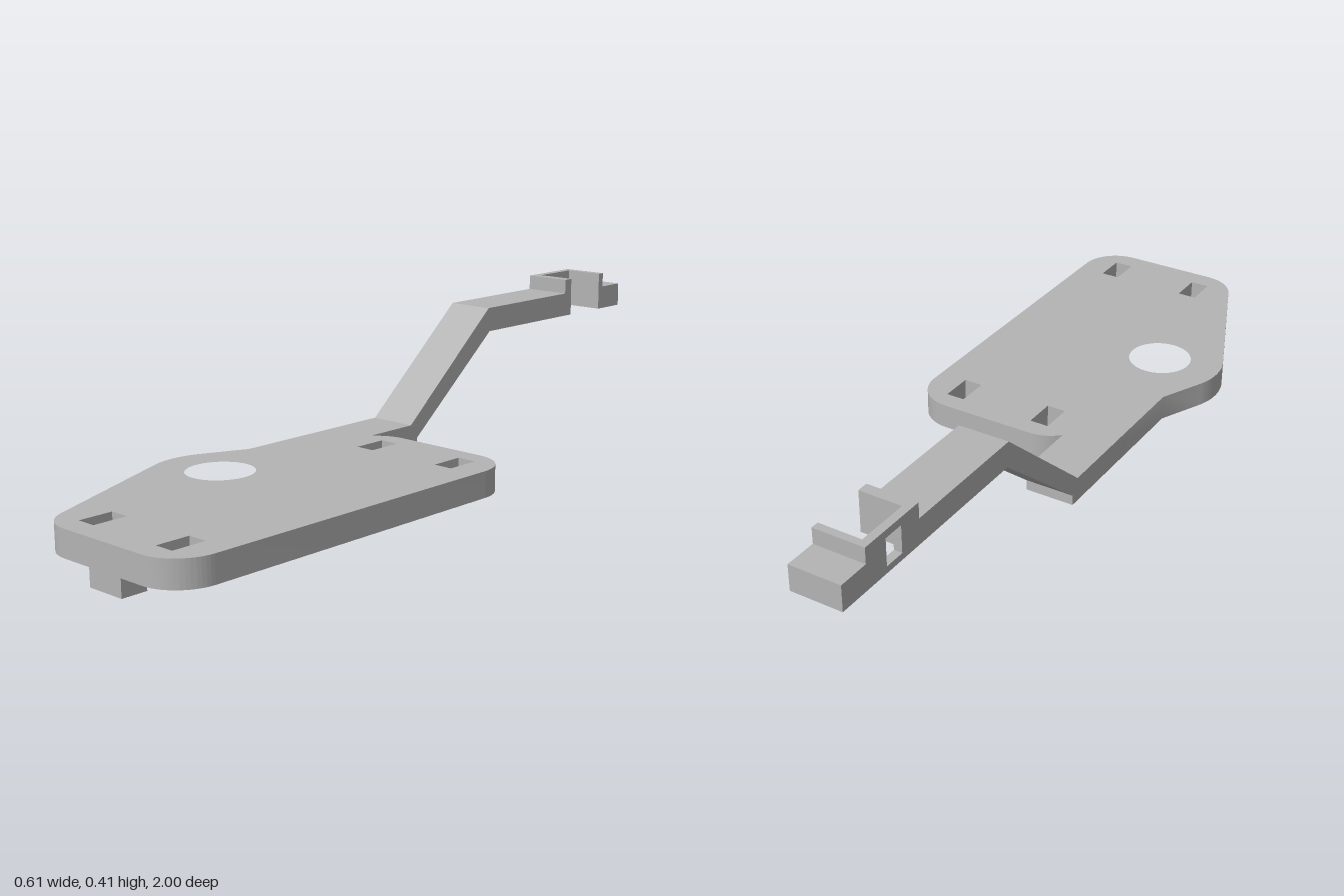
import * as THREE from 'three';
import { toCreasedNormals } from 'three/addons/utils/BufferGeometryUtils.js';

const grey = new THREE.MeshStandardMaterial({ color: 0xb4b4b4 });
grey.name = 'grey plastic';

const polygon = (Kind, points) => new Kind(points.map(([x, y]) => new THREE.Vector2(x, y)));
const rect = (Kind, x0, y0, x1, y1) => polygon(Kind, [[x0, y0], [x1, y0], [x1, y1], [x0, y1]]);
const roundHole = (x, y, r) => new THREE.Path().absarc(x, y, r, 0, Math.PI * 2, true);

function solid(name, shape, depth, place) {
  const geo = new THREE.ExtrudeGeometry(shape, { depth, bevelEnabled: false, curveSegments: 24 });
  place(geo);
  const mesh = new THREE.Mesh(toCreasedNormals(geo, 0.5), grey);
  mesh.name = name;
  return mesh;
}

// plan shapes are drawn in (x, -z) and raised from height y
const slab = (name, shape, y, height) =>
  solid(name, shape, height, g => g.rotateX(-Math.PI / 2).translate(0, y, 0));

// side profiles are drawn in (z, y) and run from x1 towards -x
const side = (name, shape, x1, width) =>
  solid(name, shape, width, g => g.rotateY(-Math.PI / 2).translate(x1, 0, 0));

export function createModel() {
  const model = new THREE.Group();
  model.name = 'bracket';
  const LOW = 0.042, TOP = 0.105, PI = Math.PI;
  const ARM_L = -0.24, ARM_R = -0.115, ARM_W = ARM_R - ARM_L;

  // base plate with rounded corners and a bulge around the round hole
  const plate = new THREE.Shape();
  plate.moveTo(ARM_R, -0.034);
  plate.absarc(-0.04, -0.1, 0.1, 2.42, PI / 2, true);
  plate.absarc(0.205, -0.1, 0.1, PI / 2, 0, true);
  plate.absarc(0.205, -0.9, 0.1, 0, -PI / 2, true);
  plate.absarc(-0.04, -0.9, 0.1, -PI / 2, -PI + 0.408, true);
  plate.absarc(-0.14, -0.5, 0.165, -PI + 0.408, -PI - 0.408, true);
  plate.lineTo(ARM_L, -0.323);
  plate.lineTo(ARM_L, -0.034);
  plate.closePath();
  plate.holes.push(roundHole(-0.14, -0.5, 0.081));
  for (const x of [-0.063, 0.183])
    for (const z of [0.05, 0.862])
      plate.holes.push(rect(THREE.Path, x, -z - 0.084, x + 0.049, -z));
  model.add(slab('basePlate', plate, LOW, TOP - LOW));

  // feet with a blind screw hole
  for (const [name, z] of [['backFoot', 0], ['frontFoot', 0.937]]) {
    const foot = rect(THREE.Shape, 0.04, -z - 0.063, 0.14, -z);
    foot.holes.push(roundHole(0.09, -z - 0.0315, 0.016));
    model.add(slab(name, foot, 0, LOW));
  }

  // cranked arm ending in the front lip of the clip
  model.add(side('arm', polygon(THREE.Shape, [
    [0.034, LOW], [-0.134, LOW], [-0.134, 0.068], [-0.42, 0.305], [-0.774, 0.305],
    [-0.774, 0.405], [-0.747, 0.405], [-0.747, 0.367], [-0.415, 0.367], [-0.112, TOP], [0.034, TOP],
  ]), ARM_R, ARM_W));

  // thin clip wall with its window
  const wall = rect(THREE.Shape, -0.904, 0.305, -0.774, 0.405);
  wall.holes.push(rect(THREE.Path, -0.858, 0.321, -0.807, 0.387));
  model.add(side('clipWall', wall, -0.22, 0.02));

  // end block with the back lip
  model.add(side('clipEnd', polygon(THREE.Shape, [
    [-0.904, 0.305], [-1, 0.305], [-1, 0.367], [-0.923, 0.367], [-0.923, 0.405], [-0.904, 0.405],
  ]), ARM_R, ARM_W));

  return model;
}
